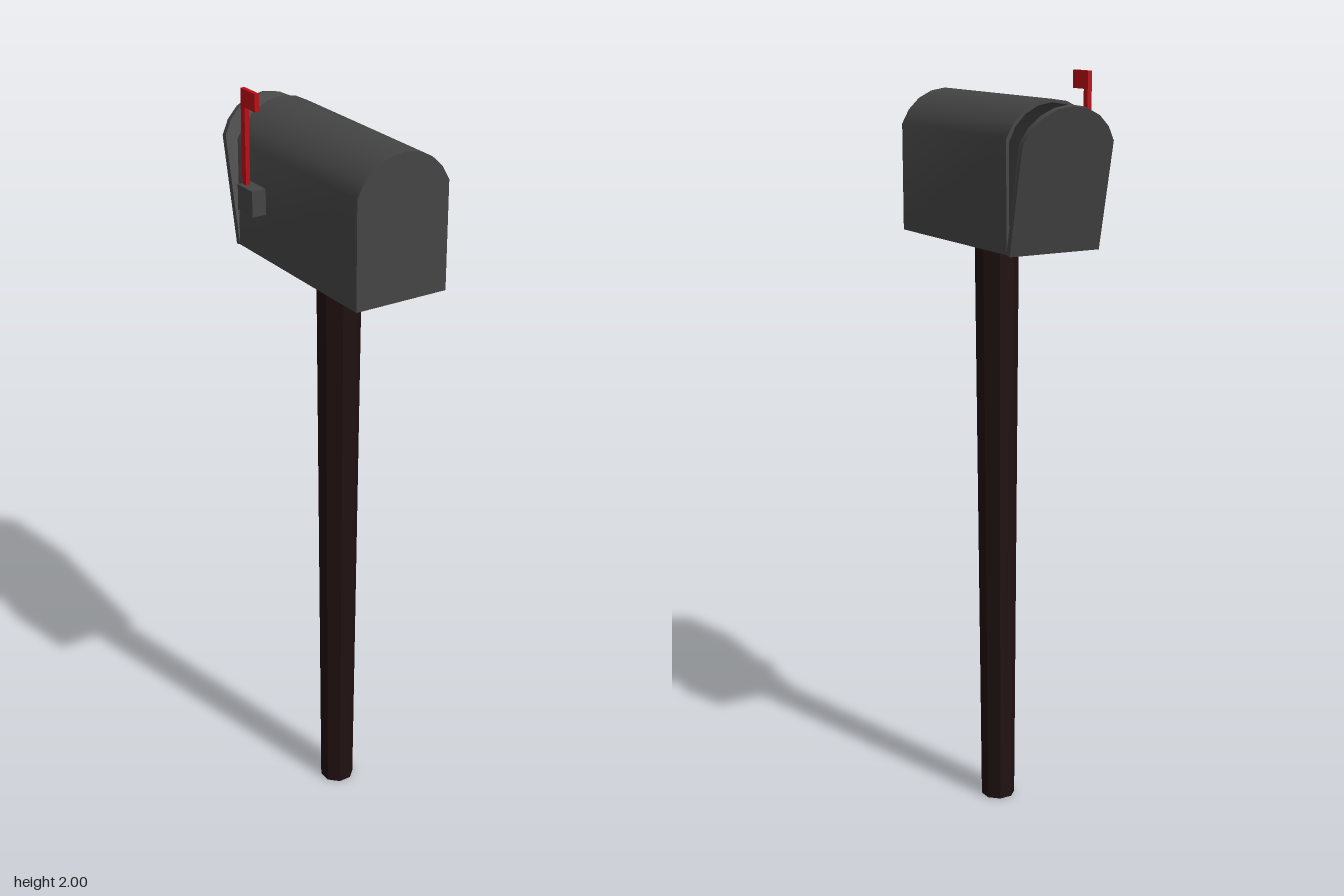
import * as THREE from 'three';
import { toCreasedNormals } from 'three/addons/utils/BufferGeometryUtils.js';

const CX = 0.019, HALF = 0.13, SIDE = 0.28, TOP = 0.37, BASE = 1.57;
const BACK = -0.222, FRONT = 0.315, WALL = 0.008;

// Arched outline: straight sides with a shallow round top, inset by d
function trace(path, d) {
  const w = HALF - d, rise = TOP - SIDE;
  const r = (w * w + rise * rise) / (2 * rise);
  const a = Math.asin(w / r), cy = TOP - d - r;
  path.moveTo(-w, d);
  path.lineTo(w, d);
  for (let i = 0; i <= 8; i++) {
    const t = a - (2 * a * i) / 8;
    path.lineTo(r * Math.sin(t), cy + r * Math.cos(t));
  }
  path.closePath();
  return path;
}

function archPanel(depth, hollow) {
  const shape = trace(new THREE.Shape(), 0);
  if (hollow) shape.holes.push(trace(new THREE.Path(), WALL));
  const geo = new THREE.ExtrudeGeometry(shape, { depth, bevelEnabled: false });
  return toCreasedNormals(geo, 0.6);
}

export function createModel() {
  const model = new THREE.Group();
  model.name = 'mailbox';
  const metal = new THREE.MeshStandardMaterial({ color: 0x444444 });
  const wood = new THREE.MeshStandardMaterial({ color: 0x1f1010, flatShading: true });
  const red = new THREE.MeshStandardMaterial({ color: 0xb80d14 });

  function add(name, geo, mat, x, y, z) {
    const mesh = new THREE.Mesh(geo, mat);
    mesh.name = name;
    mesh.position.set(x, y, z);
    model.add(mesh);
    return mesh;
  }
  // Box given by its min and max on each axis
  function block(name, mat, [x0, x1], [y0, y1], [z0, z1]) {
    return add(name, new THREE.BoxGeometry(x1 - x0, y1 - y0, z1 - z0), mat,
      (x0 + x1) / 2, (y0 + y1) / 2, (z0 + z1) / 2);
  }

  // Eight-sided post, slightly wider at the top
  const post = new THREE.CylinderGeometry(0.058, 0.046, BASE, 8, 1, false, Math.PI / 8);
  add('post', post, wood, 0.016, BASE / 2, 0.049);

  // Hollow body, closed at the front and open at the back
  add('body', archPanel(FRONT - BACK - WALL, true), metal, CX, BASE, BACK);
  add('frontPanel', archPanel(WALL, false), metal, CX, BASE, FRONT - WALL);

  // Door hinged along the lower back edge, standing ajar
  const doorGeo = archPanel(0.016, false).translate(0, 0, -0.016);
  add('door', doorGeo, metal, CX, BASE, BACK).rotation.x = -0.215;

  // Signal flag on the right side
  block('flagMount', metal, [-0.15, -0.111], [1.69, 1.757], [-0.16, -0.09]);
  block('flagArm', red, [-0.138, -0.126], [1.74, 2], [-0.157, -0.139]);
  block('flag', red, [-0.138, -0.126], [1.955, 2], [-0.139, -0.09]);

  return model;
}
